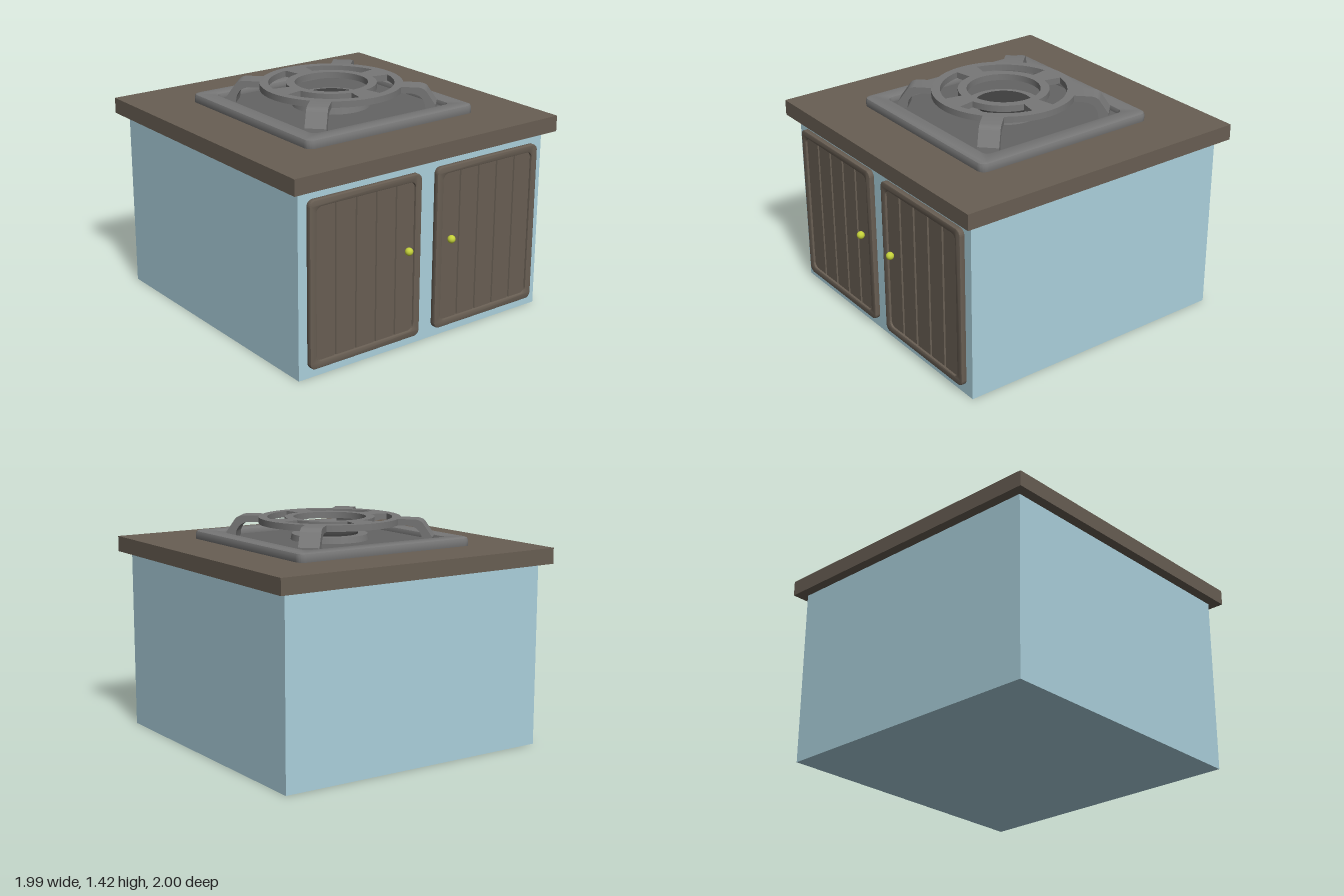
import * as THREE from 'three';
import { toCreasedNormals } from 'three/addons/utils/BufferGeometryUtils.js';

const paint = (color) => new THREE.MeshStandardMaterial({ color });
const wood = paint(0x685e53), blue = paint(0xabd0dc), iron = paint(0x777777);
const darkIron = paint(0x646464), black = paint(0x3e3e3e), brass = paint(0xc3d03a);

function add(parent, name, geometry, material, x = 0, y = 0, z = 0) {
  const mesh = new THREE.Mesh(geometry, material);
  mesh.name = name;
  mesh.position.set(x, y, z);
  parent.add(mesh);
  return mesh;
}

// Rounded rectangle outline centred on the origin
function roundedRect(w, h, r, path = new THREE.Shape()) {
  const x = w / 2, y = h / 2;
  path.absarc(x - r, y - r, r, 0, Math.PI / 2);
  path.absarc(-x + r, y - r, r, Math.PI / 2, Math.PI);
  path.absarc(-x + r, -y + r, r, Math.PI, Math.PI * 1.5);
  path.absarc(x - r, -y + r, r, Math.PI * 1.5, Math.PI * 2);
  path.closePath();
  return path;
}

function extrude(shape, depth, bevel = 0) {
  const g = new THREE.ExtrudeGeometry(shape, {
    depth, curveSegments: 16, bevelEnabled: bevel > 0,
    bevelSize: bevel, bevelThickness: bevel, bevelOffset: -bevel, bevelSegments: 2,
  });
  return toCreasedNormals(g, 0.6);
}

// Door: raised frame around a recessed panel of five slats
function makeDoor(side) {
  const door = new THREE.Group();
  door.name = side > 0 ? 'leftDoor' : 'rightDoor';
  const w = 0.81, h = 1.035, innerW = 0.73, innerH = 0.96;
  const frame = roundedRect(w, h, 0.04);
  frame.holes.push(roundedRect(innerW - 0.016, innerH - 0.016, 0.035, new THREE.Path()));
  add(door, 'doorFrame', extrude(frame, 0.024, 0.008), wood, 0, 0, 0.002);

  // Slat cross-section with V grooves, swept up the door
  const panel = new THREE.Shape();
  const pitch = innerW / 5, x0 = -innerW / 2;
  panel.moveTo(x0, 0);
  panel.lineTo(x0, -0.02);
  for (let i = 1; i < 5; i++) {
    const gx = x0 + i * pitch;
    panel.lineTo(gx - 0.009, -0.02);
    panel.lineTo(gx - 0.005, -0.011);
    panel.lineTo(gx + 0.005, -0.011);
    panel.lineTo(gx + 0.009, -0.02);
  }
  panel.lineTo(-x0, -0.02);
  panel.lineTo(-x0, 0);
  const slats = extrude(panel, innerH);
  slats.rotateX(-Math.PI / 2);
  add(door, 'doorSlats', slats, wood, 0, -innerH / 2, 0);

  add(door, 'doorKnob', new THREE.SphereGeometry(0.025, 20, 14), brass, -side * 0.3, 0.055, 0.05);
  door.position.set(side * 0.465, 0.578, 0.93);
  return door;
}

// Pan support: slotted ring carried on four bent legs
function makePanSupport() {
  const support = new THREE.Group();
  support.name = 'panSupport';
  const ring = new THREE.Shape().absarc(0, 0, 0.45, 0, Math.PI * 2);
  ring.holes.push(new THREE.Path().absarc(0, 0, 0.23, 0, Math.PI * 2, true));
  for (let i = 0; i < 4; i++) {
    const a = i * Math.PI / 2 + 0.2, b = (i + 1) * Math.PI / 2 - 0.2;
    const slot = new THREE.Path();
    slot.absarc(0, 0, 0.395, a, b);
    slot.absarc(0, 0, 0.285, b, a, true);
    slot.closePath();
    ring.holes.push(slot);
  }
  const ringGeo = new THREE.ExtrudeGeometry(ring, { depth: 0.04, bevelEnabled: false, curveSegments: 48 });
  ringGeo.rotateX(-Math.PI / 2);
  add(support, 'supportRing', toCreasedNormals(ringGeo, 0.6), iron, 0, 1.383, 0);

  // Leg side profile: distance from centre, height
  const leg = new THREE.Shape();
  leg.moveTo(0.41, 1.423);
  leg.lineTo(0.55, 1.423);
  leg.quadraticCurveTo(0.59, 1.42, 0.605, 1.395);
  leg.lineTo(0.66, 1.315);
  leg.lineTo(0.66, 1.27);
  leg.lineTo(0.6, 1.27);
  leg.lineTo(0.595, 1.315);
  leg.quadraticCurveTo(0.575, 1.383, 0.5, 1.383);
  leg.lineTo(0.41, 1.383);
  const legGeo = extrude(leg, 0.13).translate(0, 0, -0.065);
  for (let i = 0; i < 4; i++) {
    add(support, 'supportLeg', legGeo, iron).rotation.y = Math.PI / 4 + i * Math.PI / 2;
  }
  return support;
}

export function createModel() {
  const model = new THREE.Group();
  model.name = 'stoveCabinet';

  // Cabinet
  add(model, 'cabinetBody', new THREE.BoxGeometry(1.86, 1.16, 1.86), blue, 0, 0.58, 0);
  add(model, 'countertop', new THREE.BoxGeometry(1.99, 0.1, 1.99), wood, 0, 1.21, 0);
  for (const side of [-1, 1]) model.add(makeDoor(side));

  // Hob tray with raised rim
  const rim = roundedRect(1.27, 1.27, 0.05);
  rim.holes.push(roundedRect(1.08 - 0.04, 1.08 - 0.04, 0.035, new THREE.Path()));
  const rimGeo = extrude(rim, 0.035, 0.02).rotateX(-Math.PI / 2);
  add(model, 'hobRim', rimGeo, iron, 0, 1.26, 0);
  add(model, 'hobFloor', new THREE.BoxGeometry(1.14, 0.03, 1.14), darkIron, 0, 1.265, 0);

  // Burner
  add(model, 'burnerBase', new THREE.CylinderGeometry(0.24, 0.25, 0.045, 48), iron, 0, 1.295, 0);
  add(model, 'burnerCap', new THREE.CylinderGeometry(0.18, 0.18, 0.03, 48), black, 0, 1.315, 0);
  model.add(makePanSupport());

  // Balance the protruding knobs front to back
  for (const part of model.children) part.position.z -= 0.005;
  return model;
}
